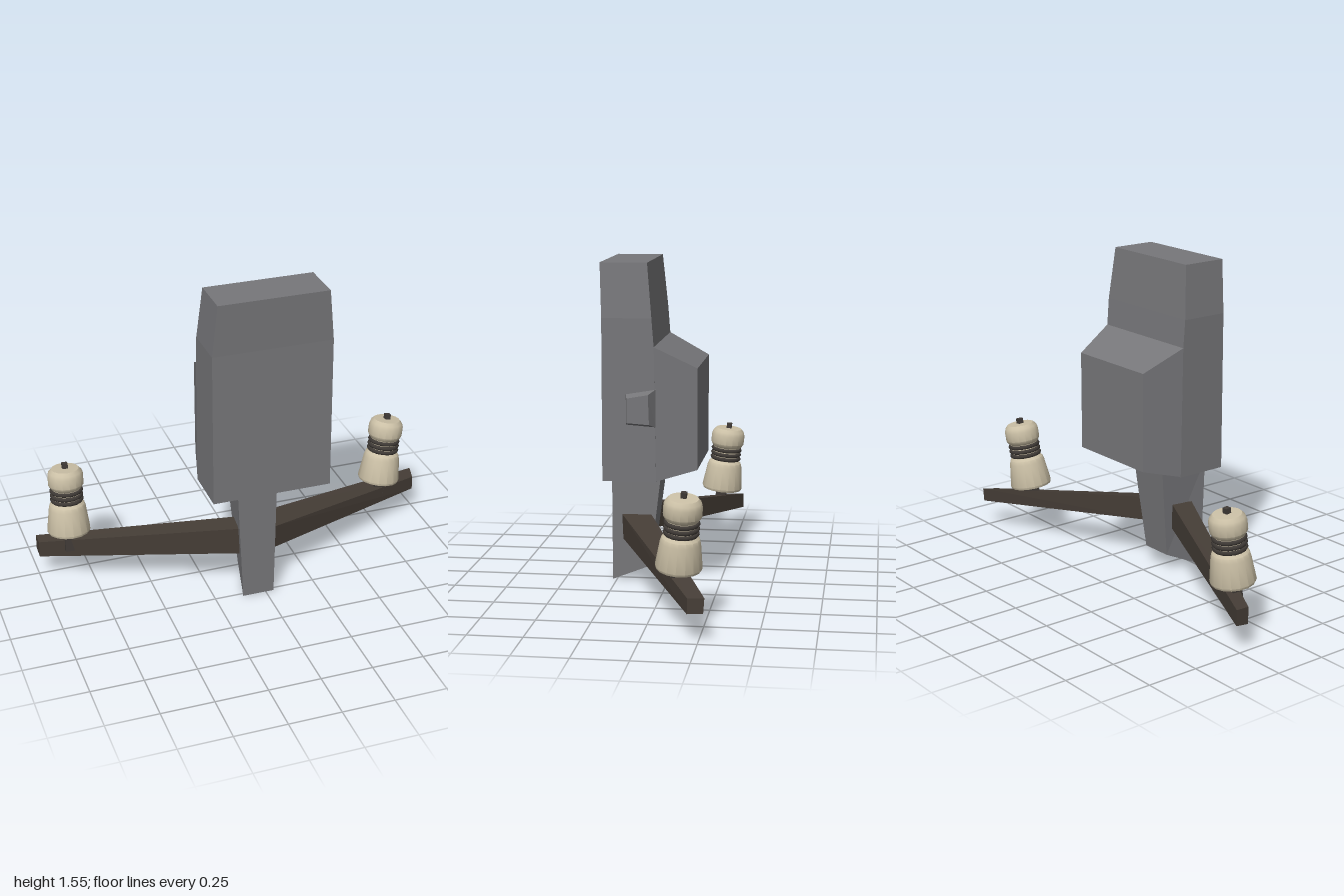
import * as THREE from 'three';
import { toCreasedNormals } from 'three/addons/utils/BufferGeometryUtils.js';

const steel = new THREE.MeshStandardMaterial({ color: 0x77777a, name: 'grey steel' });
const timber = new THREE.MeshStandardMaterial({ color: 0x453d36, name: 'dark timber' });
const ceramic = new THREE.MeshStandardMaterial({ color: 0xcbc0a6, name: 'cream ceramic' });
const darkMetal = new THREE.MeshStandardMaterial({ color: 0x403b37, name: 'dark metal' });

// Flat-sided solid through four-cornered sections, capped at both ends
function loft(sections) {
  const tris = [];
  const quad = (a, b, c, d) => tris.push([a, b, c], [a, c, d]);
  for (let i = 0; i < sections.length - 1; i++) {
    const p = sections[i], q = sections[i + 1];
    for (let k = 0; k < 4; k++) quad(p[k], p[(k + 1) % 4], q[(k + 1) % 4], q[k]);
  }
  const first = sections[0], last = sections[sections.length - 1];
  quad(first[3], first[2], first[1], first[0]);
  quad(last[0], last[1], last[2], last[3]);
  // Turn the faces outward whichever way round the sections run
  const v = (p) => new THREE.Vector3(...p);
  let volume = 0;
  for (const [a, b, c] of tris) volume += v(a).dot(v(b).cross(v(c)));
  if (volume < 0) tris.forEach((t) => t.reverse());
  const geo = new THREE.BufferGeometry();
  geo.setAttribute('position', new THREE.Float32BufferAttribute(tris.flat(2), 3));
  geo.computeVertexNormals();
  return geo;
}

// Level section: x range at the front, x range at the back, z of each
const level = (y, fx, bx, fz, bz, backY = y) => [
  [fx[0], y, fz], [fx[1], y, fz], [bx[1], backY, bz], [bx[0], backY, bz],
];
// Upright section facing z
const upright = (z, x0, x1, y0, y1) => [[x0, y0, z], [x1, y0, z], [x1, y1, z], [x0, y1, z]];

function part(name, geometry, material, parent) {
  const mesh = new THREE.Mesh(geometry, material);
  mesh.name = name;
  parent.add(mesh);
  return mesh;
}

// Ceramic insulator standing along +y, then tilted from base towards tip
function insulator(name, base, tip) {
  const group = new THREE.Group();
  group.name = name;
  const profile = [
    [0, 0], [0.1, 0], [0.105, 0.012], [0.09, 0.125], [0.084, 0.145], [0.07, 0.157],
    [0.07, 0.228], [0.076, 0.232], [0.086, 0.25], [0.086, 0.295], [0.08, 0.313],
    [0.066, 0.328], [0, 0.33],
  ].map(([r, y]) => new THREE.Vector2(r, y));
  part('ceramicBody', toCreasedNormals(new THREE.LatheGeometry(profile, 16), 0.6), ceramic, group);
  for (const y of [0.169, 0.192, 0.216]) {
    const ring = part('wireRing', new THREE.TorusGeometry(0.07, 0.011, 6, 16), darkMetal, group);
    ring.rotation.x = Math.PI / 2;
    ring.position.y = y;
  }
  part('topPin', new THREE.BoxGeometry(0.026, 0.04, 0.026), darkMetal, group).position.y = 0.335;
  part('stem', new THREE.BoxGeometry(0.053, 0.12, 0.053), darkMetal, group).position.y = -0.04;
  const from = new THREE.Vector3(...base), dir = new THREE.Vector3(...tip).sub(from).normalize();
  group.position.copy(from);
  group.quaternion.setFromUnitVectors(new THREE.Vector3(0, 1, 0), dir);
  return group;
}

export function createModel() {
  const model = new THREE.Group();
  model.name = 'poleBoxWithArms';

  // Cabinet with tapered top
  const wide = [-0.26, 0.32], narrow = [-0.235, 0.295];
  part('cabinet', loft([
    level(0.545, wide, wide, 0.27, 0.02),
    level(1.17, wide, wide, 0.27, 0.03),
    level(1.3, wide, wide, 0.27, 0.04),
    level(1.55, narrow, narrow, 0.28, 0.063),
  ]), steel, model);

  // Tapered housing on the back
  part('backHousing', loft([
    upright(0.03, -0.26, 0.32, 0.545, 1.17),
    upright(-0.165, -0.21, 0.27, 0.597, 1.07),
  ]), steel, model);

  // Knob on the left side
  part('sideKnob', loft([
    [[0.315, 0.81, 0.16], [0.315, 0.8, 0.02], [0.315, 0.977, 0.02], [0.315, 0.953, 0.16]],
    [[0.37, 0.827, 0.148], [0.37, 0.82, 0.045], [0.37, 0.958, 0.05], [0.37, 0.94, 0.148]],
  ]), steel, model);

  // Post below the cabinet, cut off at a slant
  part('post', loft([
    level(0, [-0.115, 0.04], [-0.08, 0.08], 0.27, 0.083, 0.083),
    level(0.55, [-0.14, 0.052], [-0.115, 0.105], 0.27, 0.025),
  ]), steel, model);

  // Two swept-back arms, tapering outwards
  part('leftArm', loft([
    [[0.06, 0.208, 0.215], [0.05, 0.222, 0.09], [0.05, 0.343, 0.09], [0.06, 0.328, 0.22]],
    [[0.982, 0.125, -0.203], [1, 0.135, -0.275], [1, 0.203, -0.28], [0.982, 0.193, -0.205]],
  ]), timber, model);
  part('rightArm', loft([
    [[-0.1, 0.208, 0.215], [-0.1, 0.222, 0.1], [-0.1, 0.347, 0.1], [-0.1, 0.347, 0.215]],
    [[-1, 0.125, -0.205], [-1, 0.133, -0.272], [-1, 0.208, -0.272], [-1, 0.206, -0.205]],
  ]), timber, model);

  // Insulators near the arm ends
  model.add(insulator('leftInsulator', [0.757, 0.263, -0.14], [0.808, 0.61, -0.17]));
  model.add(insulator('rightInsulator', [-0.856, 0.267, -0.168], [-0.85, 0.615, -0.208]));

  return model;
}
